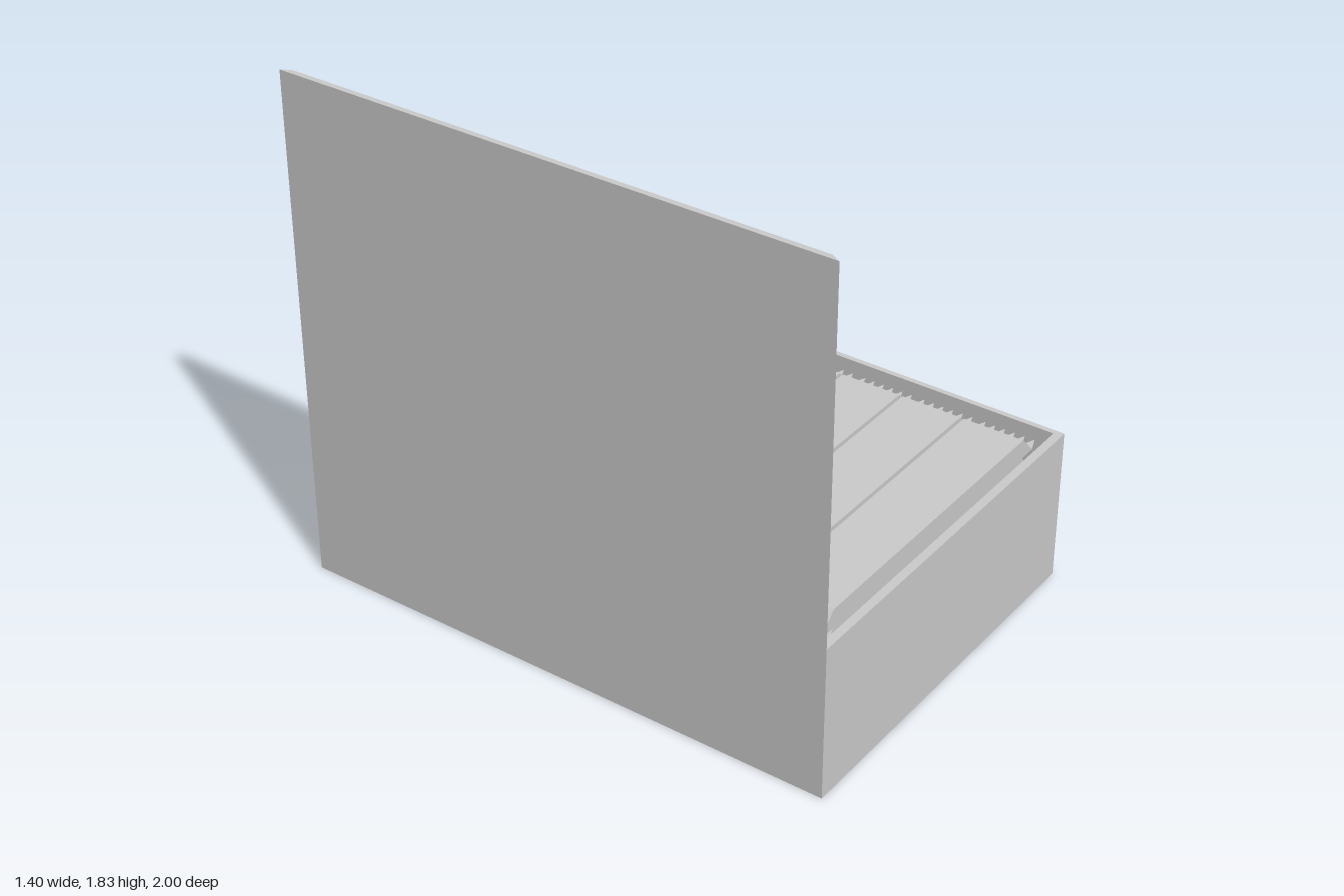
import * as THREE from 'three';

const H = 0.555;          // box height
const LAYERS = 8, BARS = 8, PITCH = 0.233, BAR_W = 0.22, BAR_H = 0.069, FLOOR = 0.028;

const mat = new THREE.MeshStandardMaterial({ color: 0xcccccc, flatShading: true });
const thin = new THREE.MeshStandardMaterial({ color: 0xcccccc, flatShading: true, side: THREE.DoubleSide });

function add(parent, name, geo, material = mat) {
  const m = new THREE.Mesh(geo, material);
  m.name = name;
  parent.add(m);
  return m;
}

// Closed outline from [x, y] pairs
const outline = (pts) => new THREE.Shape(pts.map(([x, y]) => new THREE.Vector2(x, y)));
const rect = (w, d) => [[-w, -d], [w, -d], [w, d], [-w, d]];
// Extrude a plan-view outline (x, -z) upwards
const extrudeUp = (shape, h) =>
  new THREE.ExtrudeGeometry(shape, { depth: h, bevelEnabled: false }).rotateX(-Math.PI / 2);

// Wrapper crimp: a thin strip with a zigzag outer edge, pointing to +x
function crimpGeometry() {
  const teeth = 6, step = BAR_W / teeth;
  const pts = [[0.6, -BAR_W / 2]];
  for (let i = 0; i < teeth; i++) {
    pts.push([0.62, -BAR_W / 2 + i * step], [0.667, -BAR_W / 2 + (i + 0.5) * step]);
  }
  pts.push([0.62, BAR_W / 2], [0.6, BAR_W / 2]);
  return extrudeUp(outline(pts), 0.004);
}

export function createModel() {
  const group = new THREE.Group();

  // Open tray: four walls and a floor
  const walls = outline(rect(0.7, 1));
  walls.holes.push(new THREE.Path(rect(0.68, 0.97).reverse().map(([x, y]) => new THREE.Vector2(x, y))));
  add(group, 'boxWalls', extrudeUp(walls, H));
  add(group, 'boxFloor', new THREE.BoxGeometry(1.37, FLOOR, 1.95)).position.y = FLOOR / 2;

  // Upright lid, its side edges mitred towards the inside
  const lid = outline([[-0.7, -1], [-0.68, -0.966], [-0.68, 0.966], [-0.7, 1]]);
  add(group, 'lid', extrudeUp(lid, 1.835 - H)).position.y = H;

  // Wrapped bars with sloping ends, stacked in layers
  const body = new THREE.ExtrudeGeometry(
    outline([[-0.62, 0], [0.62, 0], [0.553, BAR_H], [-0.553, BAR_H]]),
    { depth: BAR_W, bevelEnabled: false }
  ).translate(0, 0, -BAR_W / 2);
  const crimp = crimpGeometry();
  for (let layer = 0; layer < LAYERS; layer++) {
    for (let i = 0; i < BARS; i++) {
      const bar = new THREE.Group();
      bar.name = 'bar';
      bar.position.set(0, FLOOR + layer * BAR_H, (i - (BARS - 1) / 2) * PITCH + 0.003);
      add(bar, 'barBody', body);
      add(bar, 'leftCrimp', crimp, thin);
      add(bar, 'rightCrimp', crimp, thin).rotation.y = Math.PI;
      group.add(bar);
    }
  }
  return group;
}
